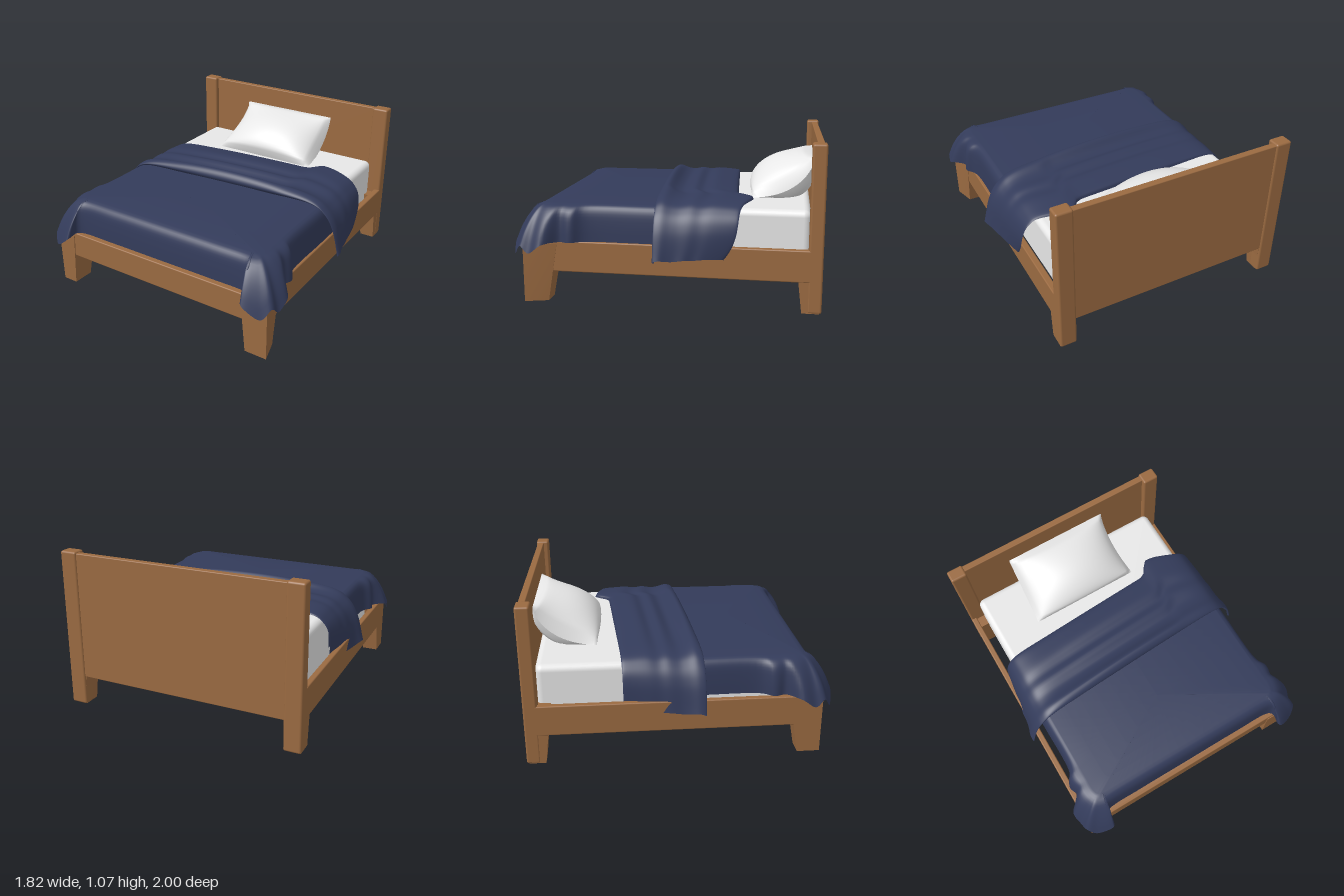
import * as THREE from 'three';
import { RoundedBoxGeometry } from 'three/addons/geometries/RoundedBoxGeometry.js';

const material = (name, color, side = THREE.FrontSide) => {
  const m = new THREE.MeshStandardMaterial({ color, side });
  m.name = name;
  return m;
};

// Grid surface; f(u, v) returns [x, y, z] and faces du x dv
function grid(f, nu, nv) {
  const pos = [], index = [];
  for (let j = 0; j <= nv; j++) {
    for (let i = 0; i <= nu; i++) pos.push(...f(i / nu, j / nv));
  }
  for (let j = 0; j < nv; j++) {
    for (let i = 0; i < nu; i++) {
      const a = j * (nu + 1) + i, b = a + 1, c = a + nu + 1, d = c + 1;
      index.push(a, b, d, a, d, c);
    }
  }
  const g = new THREE.BufferGeometry();
  g.setAttribute('position', new THREE.Float32BufferAttribute(pos, 3));
  g.setIndex(index);
  g.computeVertexNormals();
  return g;
}

const curve = (points) => new THREE.CatmullRomCurve3(
  points.map(([x, y, z = 0]) => new THREE.Vector3(x, y, z)), false, 'catmullrom', 0.5);
const lerp = THREE.MathUtils.lerp;

// Drape: rows of rim x, rim z, hem x, hem y, hem z from the side rear to the front middle
const DRAPE = [
  [0.72, -0.3, 0.785, 0.405, -0.3], [0.72, 0.1, 0.785, 0.405, 0.1], [0.72, 0.48, 0.785, 0.405, 0.48],
  [0.72, 0.58, 0.84, 0.405, 0.6], [0.72, 0.66, 0.825, 0.405, 0.68], [0.72, 0.73, 0.905, 0.4, 0.77],
  [0.71, 0.77, 0.895, 0.34, 0.86], [0.7, 0.78, 0.88, 0.385, 0.92], [0.69, 0.79, 0.83, 0.32, 0.97],
  [0.67, 0.79, 0.73, 0.38, 1.0], [0.66, 0.79, 0.695, 0.41, 0.98], [0.65, 0.79, 0.68, 0.41, 0.88],
  [0.4, 0.79, 0.4, 0.41, 0.87], [0, 0.79, 0, 0.41, 0.87],
];

function duvetGeometry() {
  const mirrored = DRAPE.slice(0, -1).reverse().map(([a, b, c, d, e]) => [-a, b, -c, d, e]);
  const all = [...DRAPE, ...mirrored];
  const rim = curve(all.map((p) => [p[0], 0.645, p[1]]));
  const hem = curve(all.map((p) => [p[2], p[3], p[4]]));
  const steep = curve([[0, 0], [0.5, 0.07], [0.82, 0.25], [0.95, 0.6], [1, 1]]);
  const flared = curve([[0, 0], [0.3, 0.09], [0.58, 0.33], [0.82, 0.65], [1, 1]]);
  return grid((u, v) => {
    const r = rim.getPoint(u), h = hem.getPoint(u);
    if (v < 0.3) {
      const k = v / 0.3; // flat top, from the middle line out to the rim
      return [r.x * k, lerp(0.667, 0.645, k * k), lerp(Math.min(r.z, 0.4), r.z, k)];
    }
    const k = (v - 0.3) / 0.7;
    const flare = THREE.MathUtils.smoothstep(Math.hypot(h.x - r.x, h.z - r.z), 0.1, 0.22);
    const p = steep.getPoint(k).lerp(flared.getPoint(k), flare);
    return [lerp(r.x, h.x, p.x), lerp(r.y, h.y, p.y), lerp(r.z, h.z, p.x)];
  }, 156, 20);
}

// Turned-back band lying across the bed and hanging down both sides
function foldGeometry() {
  const half = [[0.845, 0.32], [0.825, 0.5], [0.775, 0.605], [0.67, 0.66], [0.4, 0.67]];
  const across = curve([...half.map(([x, y]) => [-x, y]), [0, 0.672], ...half.slice().reverse()]);
  const wrinkle = curve([
    [0.03, -0.01], [0, 0.02], [0.03, 0.055], [0.1, 0.07], [0.2, 0.03], [0.3, 0.015], [0.43, 0.04],
    [0.55, 0.02], [0.68, 0.04], [0.84, 0.03], [0.97, 0.015], [1, -0.012],
  ]);
  return grid((u, v) => {
    const p = across.getPoint(u), w = wrinkle.getPoint(v);
    const hang = THREE.MathUtils.clamp((0.66 - p.y) / 0.34, 0, 1), s = Math.sign(p.x);
    const front = 0.105 - 0.06 * p.x;
    // rear edge with one corner pulled up towards the pillow
    const spread = p.x < 0.48 ? 0.05 : 0.2;
    const rear = -0.42 - 0.06 * p.x - 0.1 * Math.exp(-(((p.x - 0.48) / spread) ** 2))
      + (s > 0 ? 0.09 * hang ** 3 : 0);
    const lift = w.y * (1 - 0.8 * Math.min(1, (p.x / 0.8) ** 2));
    return [
      p.x + s * hang * (0.075 * (1 - w.x) - 0.025 + w.y * 0.2),
      p.y + lift + hang * 0.02 * (w.x - 0.4),
      lerp(front, rear, w.x),
    ];
  }, 96, 44);
}

// One face of the pillow, bulging from a seam that bends up against the headboard
function pillowGeometry(bulge) {
  return grid((u, v) => {
    const a = (u * 2 - 1) * Math.sign(bulge), b = v * 2 - 1;
    const t = bulge * Math.pow((1 - a * a) * (1 - b * b), 0.45) * (1 - 0.2 * v * v);
    return [
      -0.05 + (0.39 - 0.01 * b) * a * (1 - 0.025 * (1 - b * b)),
      Math.max(0.632, 0.64 + 0.27 * v * v + t * (0.7 + 0.7 * v - 0.95 * v * v)),
      Math.max(-0.943, -0.53 - 0.41 * (1 - Math.pow(1 - v, 1.5)) + t * (0.55 + 0.25 * v)),
    ];
  }, 36, 28);
}

export function createModel() {
  const wood = material('wood', 0x9a6a41);
  const linen = material('white linen', 0xf0f0f0);
  const cloth = material('navy cloth', 0x333b5a, THREE.DoubleSide);
  const group = new THREE.Group();
  group.name = 'bed';

  const add = (name, geometry, mat) => {
    const mesh = new THREE.Mesh(geometry, mat);
    mesh.name = name;
    group.add(mesh);
  };
  const box = (name, mat, x0, x1, y0, y1, z0, z1, r = 0.008) => {
    const g = new RoundedBoxGeometry(x1 - x0, y1 - y0, z1 - z0, 3, r);
    g.translate((x0 + x1) / 2, (y0 + y1) / 2, (z0 + z1) / 2);
    add(name, g, mat);
  };
  // Leg narrowing downward on its inner sides by dx and dz; flare slants its outer side
  const leg = (name, x0, x1, y1, z0, z1, dx, dz, flare = 0) => {
    const g = new THREE.BoxGeometry(x1 - x0, y1, z1 - z0);
    g.translate((x0 + x1) / 2, y1 / 2, (z0 + z1) / 2);
    const p = g.attributes.position;
    for (let i = 0; i < p.count; i++) {
      const x = p.getX(i), z = p.getZ(i), low = p.getY(i) < 0.01;
      const inner = Math.abs(x) < 0.74, near = Math.abs(z) < 0.9;
      if (low && inner) p.setX(i, x + Math.sign(x) * dx);
      if (low && near) p.setZ(i, z + Math.sign(z) * dz);
      if (near && !inner) p.setX(i, x - Math.sign(x) * flare);
    }
    g.computeVertexNormals();
    add(name, g, wood);
  };

  // Headboard with posts running to the floor
  box('headboardPanel', wood, -0.76, 0.7, 0.2, 1.055, -0.99, -0.945, 0.006);
  box('rightHeadboardPost', wood, -0.86, -0.745, 0, 1.065, -1, -0.91, 0.014);
  box('leftHeadboardPost', wood, 0.685, 0.8, 0, 1.065, -1, -0.91, 0.014);

  // Legs
  leg('rightBackLeg', -0.857, -0.735, 0.38, -0.985, -0.83, 0.015, 0.045);
  leg('leftBackLeg', 0.675, 0.797, 0.38, -0.985, -0.83, 0.015, 0.045);
  leg('rightFrontLeg', -0.86, -0.72, 0.385, 0.7, 0.915, 0.03, 0.065);
  leg('leftFrontLeg', 0.655, 0.845, 0.385, 0.7, 0.915, 0.035, 0.065, 0.042);

  // Rails
  box('rightSideRail', wood, -0.86, -0.82, 0.2, 0.405, -0.95, 0.89);
  box('leftSideRail', wood, 0.755, 0.8, 0.2, 0.405, -0.95, 0.89);
  box('frontRail', wood, -0.84, 0.8, 0.225, 0.41, 0.85, 0.908);
  box('frontLedge', wood, -0.82, 0.76, 0.2, 0.24, 0.8, 0.86);

  // Bedding
  box('mattress', linen, -0.76, 0.71, 0.31, 0.637, -0.92, 0.84, 0.045);
  box('mattressBase', linen, -0.76, 0.71, 0.3, 0.38, -0.92, 0.85, 0.006);
  add('duvet', duvetGeometry(), cloth);
  add('duvetFold', foldGeometry(), cloth);
  add('pillowFront', pillowGeometry(0.22), linen);
  add('pillowBack', pillowGeometry(-0.12), linen);

  return group;
}
